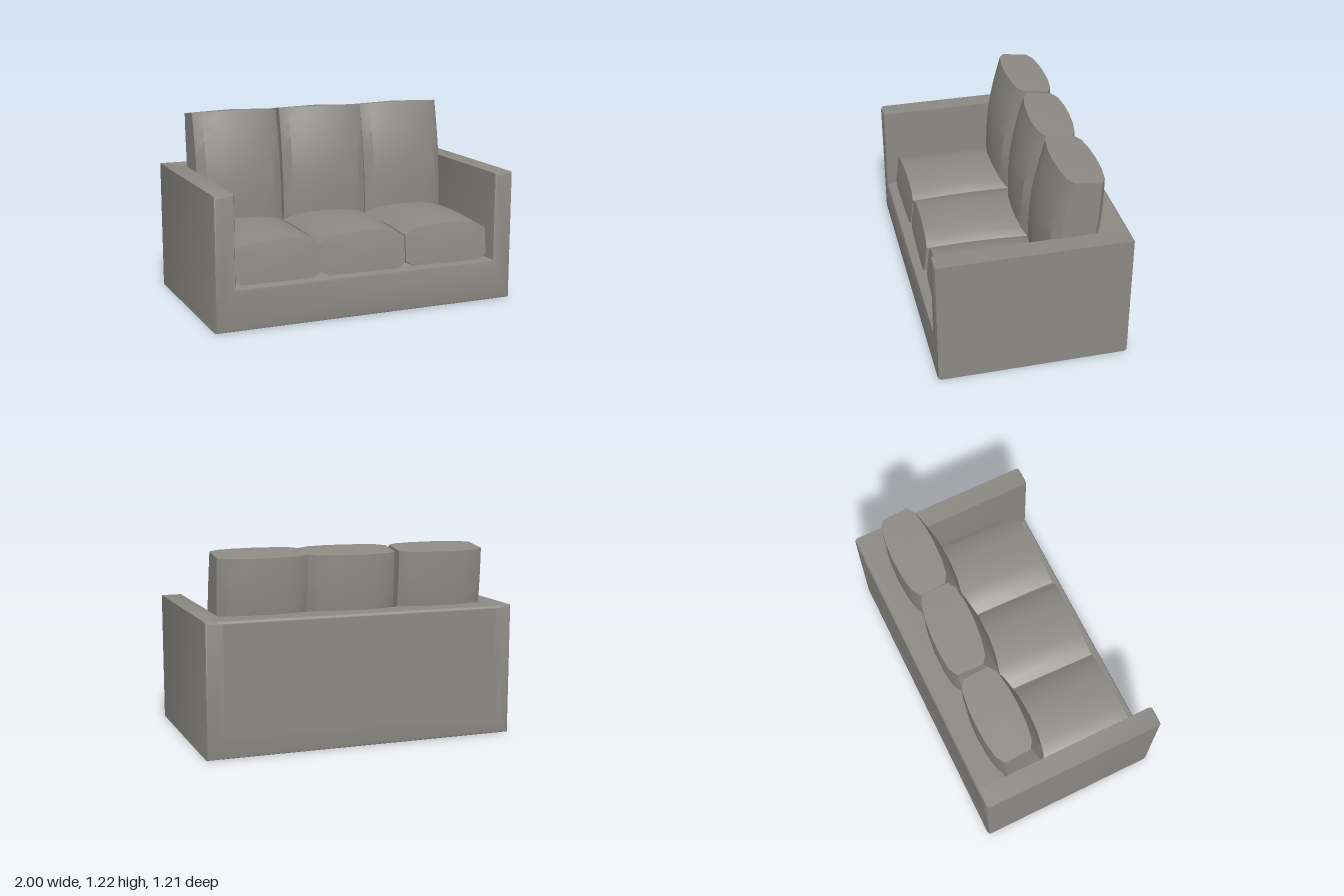
import * as THREE from 'three';
import { toCreasedNormals } from 'three/addons/utils/BufferGeometryUtils.js';
import { RoundedBoxGeometry } from 'three/addons/geometries/RoundedBoxGeometry.js';

// Stuffed cushion: lens cross-section in x/z, running along y and fattest in the middle.
function cushionGeometry(length, bulge, slant) {
  const half = [[0.285, 0.085], [0.23, 0.118], [0.12, 0.135], [0, 0.14], [-0.12, 0.135], [-0.23, 0.118], [-0.285, 0.085]];
  const ring = half.concat(half.map(([x, z]) => [-x, -z]));
  const n = ring.length, rows = 8;
  const pos = [], index = [];
  for (let j = 0; j <= rows; j++) {
    const v = j / rows;
    const fat = 1 + bulge * Math.sin(Math.PI * v);
    for (const [x, z] of ring) pos.push(x, length * (v - 0.5) + slant * z * v, z * fat);
  }
  for (let j = 0; j < rows; j++) {
    for (let i = 0; i < n; i++) {
      const a = j * n + i, b = j * n + (i + 1) % n;
      index.push(a, a + n, b, b, a + n, b + n);
    }
  }
  // End caps, very slightly domed
  const bottom = pos.length / 3, top = bottom + 1, last = rows * n;
  pos.push(0, -length / 2 - 0.01, 0, 0, length / 2 + 0.01, 0);
  for (let i = 0; i < n; i++) {
    const k = (i + 1) % n;
    index.push(bottom, i, k, top, last + k, last + i);
  }
  const g = new THREE.BufferGeometry();
  g.setAttribute('position', new THREE.Float32BufferAttribute(pos, 3));
  g.setIndex(index);
  return toCreasedNormals(g, 0.45);
}

export function createModel() {
  const sofa = new THREE.Group();
  sofa.name = 'sofa';
  const fabric = new THREE.MeshStandardMaterial({ color: 0x8c8983 });
  fabric.name = 'warm grey fabric';

  const add = (name, geometry, x, y, z, yaw = 0) => {
    const mesh = new THREE.Mesh(geometry, fabric);
    mesh.name = name;
    mesh.position.set(x, y, z);
    mesh.rotation.y = yaw;
    sofa.add(mesh);
  };

  // Arms and base as one bevelled U
  const H = 0.835, D = 0.605, inner = 0.87, deck = 0.265, bevel = 0.02;
  const u = new THREE.Shape([
    [-1, 0], [1, 0], [1, H], [inner, H], [inner, deck], [-inner, deck], [-inner, H], [-1, H],
  ].map(([x, y]) => new THREE.Vector2(x, y)));
  const frame = new THREE.ExtrudeGeometry(u, {
    depth: 2 * (D - bevel), bevelEnabled: true, bevelSize: bevel,
    bevelThickness: bevel, bevelOffset: -bevel, bevelSegments: 2,
  });
  // Chamfer the long edges as well: bottom and outer top corners
  const p = frame.attributes.position;
  for (let i = 0; i < p.count; i++) p.setZ(i, p.getZ(i) - (D - bevel));
  add('armsAndBase', toCreasedNormals(frame, 0.6), 0, 0, 0);

  // Backrest panel between the arms
  add('backrest', new RoundedBoxGeometry(1.88, H - 0.1, 0.195, 2, bevel), 0, (H + 0.1) / 2, -D + 0.0975);

  // Seat cushions lie along z with the front end slanted
  const seat = cushionGeometry(0.75, 0.14, 0.12).rotateX(Math.PI / 2);
  [[-0.585, 0.01], [-0.005, -0.03], [0.575, -0.02]].forEach(([x, yaw], i) =>
    add('seatCushion' + (i + 1), seat, x, 0.38, 0.15, yaw));

  // Back cushions stand on the seat and lean back
  const back = cushionGeometry(0.74, 0.27, 0).rotateX(-0.135);
  [[-0.585, 0], [0.015, -0.06], [0.59, 0]].forEach(([x, yaw], i) =>
    add('backCushion' + (i + 1), back, x, 0.83, -0.285, yaw));

  return sofa;
}
